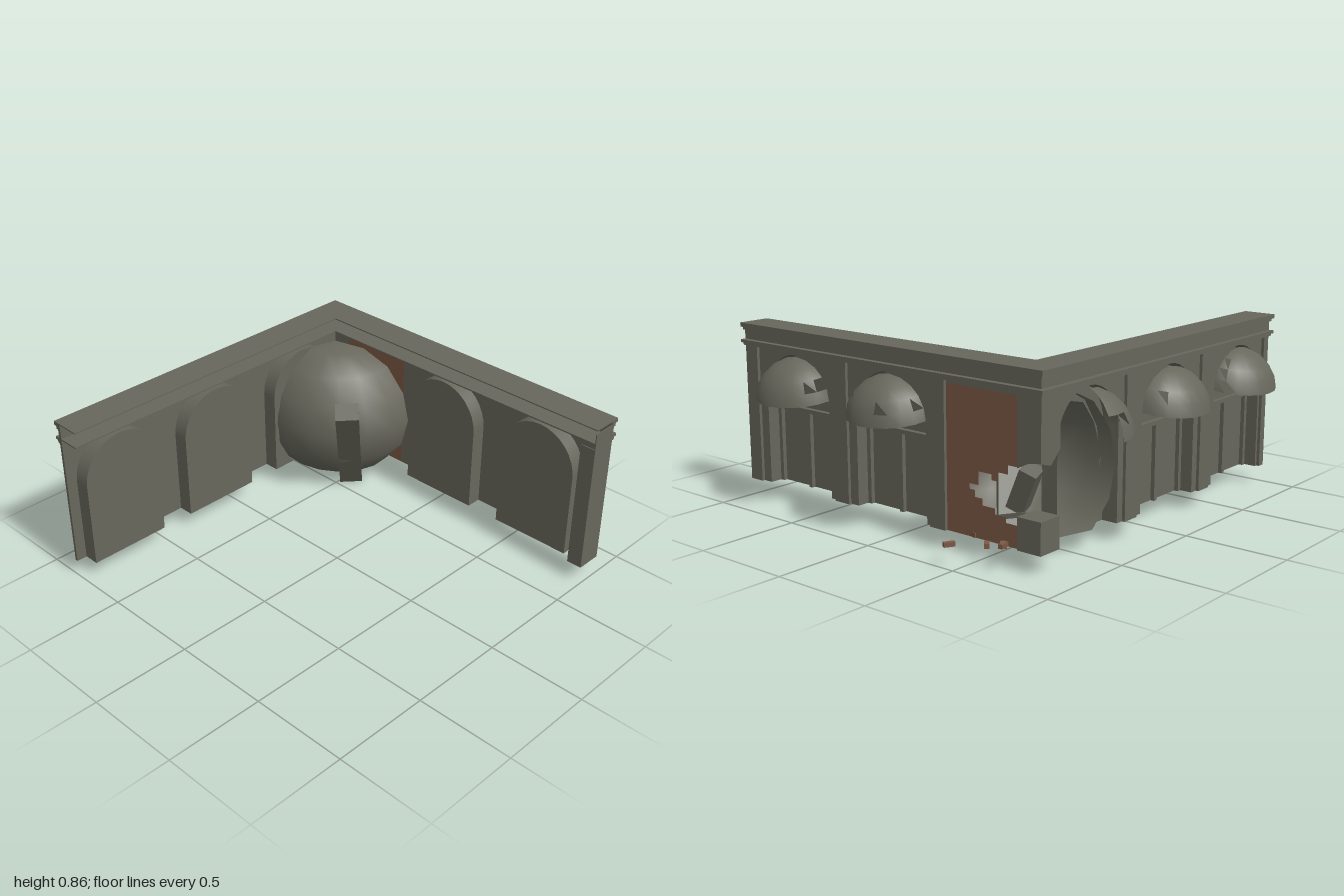
import * as THREE from 'three';

export function createModel() {
  const model = new THREE.Group();
  const stone = new THREE.MeshStandardMaterial({ color: 0x67675c, side: THREE.DoubleSide });
  stone.name = 'grey stone';
  const brick = new THREE.MeshStandardMaterial({ color: 0x7d5845, side: THREE.DoubleSide });
  brick.name = 'red brick';
  const BASE = 0.09, TOP = 0.76, SPRING = 0.53, R = 0.215, FACE = 0.81, NICHE = 0.73;

  function add(parent, name, geometry, material = stone) {
    const mesh = new THREE.Mesh(geometry, material);
    mesh.name = name;
    parent.add(mesh);
    return mesh;
  }
  // Box given by its minimum and maximum corners
  function block(parent, name, [x0, y0, z0], [x1, y1, z1]) {
    const g = new THREE.BoxGeometry(x1 - x0, y1 - y0, z1 - z0);
    g.translate((x0 + x1) / 2, (y0 + y1) / 2, (z0 + z1) / 2);
    return add(parent, name, g);
  }
  // Long box running between two points
  function beam(name, from, to, width, depth, roll) {
    const a = new THREE.Vector3(...from), b = new THREE.Vector3(...to);
    const mesh = add(model, name, new THREE.BoxGeometry(width, a.distanceTo(b), depth).rotateY(roll));
    mesh.position.copy(a).add(b).multiplyScalar(0.5);
    mesh.quaternion.setFromUnitVectors(new THREE.Vector3(0, 1, 0), b.sub(a).normalize());
  }
  const shapeOf = points => new THREE.Shape(points.map(p => new THREE.Vector2(...p)));
  const sheet = (points, z) => new THREE.ShapeGeometry(shapeOf(points)).translate(0, 0, z);

  // Outline of an arched opening, from one foot over to the other
  function arch(c) {
    const points = [[c - R, BASE]];
    for (let i = 0; i <= 16; i++) {
      const a = Math.PI * (1 - i / 16);
      points.push([c + R * Math.cos(a), SPRING + R * Math.sin(a)]);
    }
    points.push([c + R, BASE]);
    return points;
  }
  // Wall face with arches cut up from its lower edge
  const arcade = (u0, u1, centres) =>
    sheet([[u0, BASE], ...centres.flatMap(arch), [u1, BASE], [u1, TOP], [u0, TOP]], FACE);

  // Side and vault of a niche
  function reveal(c) {
    const points = arch(c), pos = [], index = [];
    points.forEach(([u, y], i) => {
      pos.push(u, y, FACE, u, y, NICHE);
      if (i) index.push(2 * i - 2, 2 * i, 2 * i - 1, 2 * i, 2 * i + 1, 2 * i - 1);
    });
    const g = new THREE.BufferGeometry();
    g.setAttribute('position', new THREE.Float32BufferAttribute(pos, 3));
    g.setIndex(index);
    g.computeVertexNormals();
    return g;
  }

  // Torn quarter-dome canopy: isTorn drops single triangles of the grid
  function canopy(parent, c, isTorn) {
    const N = 10, M = 5, pos = [], index = [];
    for (let j = 0; j <= M; j++) {
      for (let i = 0; i <= N; i++) {
        const a = Math.PI * i / N, b = Math.PI / 2 * j / M;
        const out = Math.sin(a) * Math.cos(b);
        pos.push(c - R * Math.cos(a) * Math.cos(b), SPRING + 0.025 + 0.18 * Math.sin(b) - 0.025 * out, FACE + 0.18 * out);
      }
    }
    for (let j = 0; j < M; j++) {
      for (let i = 0; i < N; i++) {
        const p = j * (N + 1) + i, q = p + N + 1;
        if (!isTorn(i, j, 0)) index.push(p, p + 1, q);
        if (!isTorn(i, j, 1)) index.push(p + 1, q + 1, q);
      }
    }
    const g = new THREE.BufferGeometry();
    g.setAttribute('position', new THREE.Float32BufferAttribute(pos, 3));
    g.setIndex(index);
    g.computeVertexNormals();
    add(parent, 'canopy', g);
  }

  // Closed niche with a door frame
  function niche(parent, c) {
    add(parent, 'nicheReveal', reveal(c));
    add(parent, 'nichePanel', sheet(arch(c), NICHE));
    block(parent, 'doorTransom', [c - R, 0.455, NICHE], [c + R, 0.475, NICHE + 0.025]);
    for (const u of [c - 0.203, c, c + 0.203]) {
      block(parent, 'doorPost', [u - 0.011, BASE, NICHE], [u + 0.011, 0.455, NICHE + 0.02]);
    }
  }

  function wall(name, turn, face, niches, pilasters) {
    const g = new THREE.Group();
    g.name = name;
    g.rotation.y = turn;
    model.add(g);
    add(g, 'archedFace', arcade(...face));
    for (const c of niches) niche(g, c);
    for (const [u0, u1] of pilasters) block(g, 'pilaster', [u0, BASE, FACE], [u1, TOP, 0.825]);
    return g;
  }

  // Right wall: local x runs towards the back
  const right = wall('rightWall', Math.PI / 2, [-0.99, 0.3, [-0.645, -0.035]],
    [-0.645, -0.035], [[-0.99, -0.91], [-0.39, -0.3], [0.21, 0.3]]);
  block(right, 'endCap', [-0.99, BASE, 0.69], [-0.985, 0.845, 0.82]);
  block(right, 'endReturn', [-0.985, BASE, 0.69], [-0.91, TOP, 0.695]);
  block(right, 'lintel', [0.3, 0.74, 0.8], [0.7, TOP, FACE]);
  canopy(right, -0.645, (i, j, k) => (i === 9 && j === 1) || (i === 8 && j === 1 && k === 0) || (i === 0 && j === 2 && k));
  canopy(right, -0.035, (i, j, k) => j === 1 && ((i === 2 && k) || (i === 6 && !k) || (i === 9 && !k)));

  // Back wall: local x runs towards the left end
  const back = wall('backWall', Math.PI, [-0.7, 1, [-0.485, 0.125, 0.73]],
    [0.125, 0.73], [[-0.23, -0.14], [0.38, 0.47], [0.96, 1]]);
  canopy(back, 0.73, (i, j, k) => (i === 0 && j < 3 && k) || (i === 1 && j === 0 && !k));
  canopy(back, 0.125, (i, j, k) => (i === 8 && j === 2) || (i === 9 && j > 1) || (i === 1 && j === 1 && k));
  canopy(back, -0.485, (i, j, k) => i < 4 || (i === 4 && j < 2) || (i === 5 && j === 1 && k));

  // Remains of the burst niche nearest the corner
  add(back, 'brokenNicheReveal', reveal(-0.485));
  add(back, 'brokenNichePanel', sheet([...arch(-0.485).slice(1), [-0.4, BASE], [-0.36, 0.14], [-0.3, 0.25],
    [-0.29, 0.42], [-0.34, 0.55], [-0.42, 0.65], [-0.55, 0.68], [-0.66, 0.6]], NICHE));

  // Exposed brick bay with a stepped break
  const brickOutline = [[0.3, 0.09], [0.7, 0.09], [0.7, 0.19], [0.63, 0.19], [0.63, 0.215], [0.57, 0.215],
    [0.57, 0.24], [0.5, 0.24], [0.5, 0.27], [0.46, 0.27], [0.46, 0.3], [0.43, 0.3], [0.43, 0.325],
    [0.48, 0.325], [0.48, 0.385], [0.55, 0.385], [0.55, 0.36], [0.59, 0.36], [0.59, 0.4],
    [0.64, 0.4], [0.64, 0.44], [0.7, 0.44], [0.7, 0.74], [0.3, 0.74]];
  add(right, 'brickPanel', sheet(brickOutline, FACE), brick);

  // Broken corner pier: two hanging faces with torn lower edges, and a stump
  add(right, 'cornerPierSide', sheet([[0.7, 0.44], [0.76, 0.47], [0.825, 0.48], [0.825, TOP], [0.7, TOP]], 0.825));
  add(back, 'cornerPierBack', sheet([[-0.7, 0.52], [-0.76, 0.46], [-0.825, 0.48], [-0.825, TOP], [-0.7, TOP]], 0.825));
  block(model, 'cornerPierStump', [0.7, BASE, -0.825], [0.825, 0.235, -0.7]);

  // L-shaped mouldings: [outer offset, inner offset, bottom, top]
  const mouldings = [[0.838, 0.81, 0.758, 0.773], [0.853, 0.7, 0.78, 0.787], [0.853, 0.82, 0.773, 0.78],
    [0.826, 0.81, 0.773, 0.848], [0.838, 0.82, 0.832, 0.848], [0.853, 0.81, 0.848, 0.862], [0.853, 0.69, 0.862, 0.868]];
  for (const [o, n, y0, y1] of mouldings) {
    const s = shapeOf([[-1, n], [n, n], [n, -0.99], [o, -0.99], [o, o], [-1, o]]);
    add(model, 'cornice', new THREE.ExtrudeGeometry(s, { depth: y1 - y0, bevelEnabled: false })
      .rotateX(-Math.PI / 2).translate(0, y0, 0));
  }

  // Hollow crater shell bulging into the inner corner and reaching both walls
  const shell = new THREE.SphereGeometry(1, 6, 8, -0.25, Math.PI / 2 + 0.5);
  shell.scale(0.42, 0.41, 0.46).translate(0.7, 0.37, -0.7);
  const sp = shell.attributes.position;
  for (let i = 0; i < sp.count; i++) sp.setY(i, THREE.MathUtils.clamp(sp.getY(i), BASE, 0.73));
  shell.computeVertexNormals();
  add(model, 'craterShell', shell);

  // Fallen masonry
  beam('fallenBeam', [0.335, 0.61, -0.26], [0.592, 0.031, -0.475], 0.1, 0.12, 0.6);
  beam('fallenBlock', [0.72, 0.24, -0.62], [0.74, 0.42, -0.71], 0.09, 0.08, 0.3);
  beam('brokenBar', [0.78, 0.185, -0.53], [0.76, 0.23, -0.7], 0.02, 0.02, 0);

  // Scattered bricks: x, y, z, turn
  const loose = [[0.965, 0.1, -0.45, -0.5], [0.87, 0.1, -0.575, 0.7], [0.865, 0.115, -0.66, 0.2],
    [0.8, 0.1, -0.44, 1.4], [0.79, 0.1, -0.5, 1.2], [0.83, 0.1, -0.63, 0.9]];
  for (const [x, y, z, turn] of loose) {
    const b = add(model, 'looseBrick', new THREE.BoxGeometry(0.05, 0.02, 0.022), brick);
    b.position.set(x, y, z);
    b.rotation.y = turn;
  }
  return model;
}
